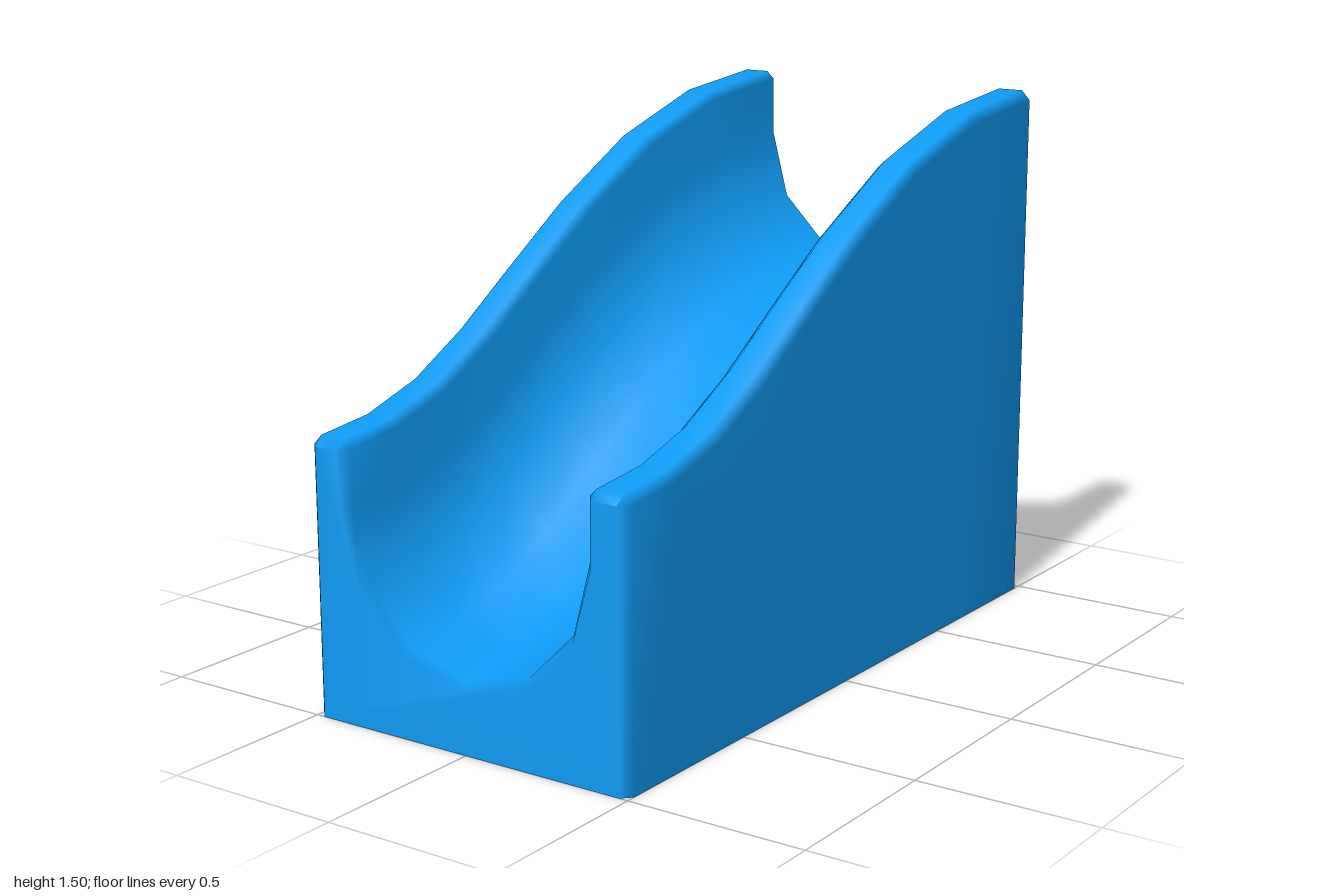
import * as THREE from 'three';

const BEVEL = 0.025;

// Half of the cross-section, from the outer foot to the bottom of the channel.
// h is the rail height, d the inset used for the bevelled ends.
function halfSection(h, d) {
  return [
    [0.5 - d, 0],
    [0.5 - d, h - BEVEL - 0.002],
    [0.475, h - d],
    [0.4, h - d],
    [0.377 + d * 0.8, h - 0.022 - d * 0.2],
    [0.375 + d * 0.8, h - 0.19 - d * 0.2],
    [0.325 + d * 0.6, h - 0.378 - d * 0.5],
    [0.19 + d * 0.3, h - 0.513 - d * 0.7],
    [0, h - 0.563 - d * 0.8],
  ];
}

function section(h, d) {
  const half = halfSection(h, d);
  const mirrored = half.slice(0, -1).reverse().map(([x, y]) => [-x, y]);
  return [...half, ...mirrored];
}

export function createModel() {
  // Stations along the slope: z, rail height, inset
  const stations = [
    [1, 0.752, BEVEL], [0.975, 0.752, 0], [0.8, 0.77, 0], [0.61, 0.827, 0],
    [0.41, 0.932, 0], [0.19, 1.075, 0], [-0.03, 1.215, 0], [-0.33, 1.368, 0],
    [-0.66, 1.468, 0], [-0.975, 1.5, 0], [-1, 1.5, BEVEL],
  ];
  const loops = stations.map(([, h, d]) => section(h, d));
  const n = loops[0].length;
  const positions = [];
  const index = [];

  loops.forEach((loop, j) => loop.forEach(([x, y]) => positions.push(x, y, stations[j][0])));

  // Walls, rails and channel; the underside stays open
  for (let j = 0; j < loops.length - 1; j++) {
    for (let i = 0; i < n - 1; i++) {
      const a = j * n + i;
      index.push(a, a + n, a + n + 1, a, a + n + 1, a + 1);
    }
  }

  // End walls
  const cap = (j, flip) => {
    const contour = loops[j].map(([x, y]) => new THREE.Vector2(x, y));
    for (const [a, b, c] of THREE.ShapeUtils.triangulateShape(contour, [])) {
      const o = j * n;
      if (flip) index.push(o + a, o + c, o + b);
      else index.push(o + a, o + b, o + c);
    }
  };
  cap(0, false);
  cap(loops.length - 1, true);

  const geometry = new THREE.BufferGeometry();
  geometry.setAttribute('position', new THREE.Float32BufferAttribute(positions, 3));
  geometry.setIndex(index);
  geometry.computeVertexNormals(); // area weighting keeps the big faces flat

  const material = new THREE.MeshStandardMaterial({ color: 0x0f9bf5, side: THREE.DoubleSide });
  const ramp = new THREE.Mesh(geometry, material);
  ramp.name = 'channelRamp';

  const group = new THREE.Group();
  group.name = 'slopedChannelBlock';
  group.add(ramp);
  return group;
}
